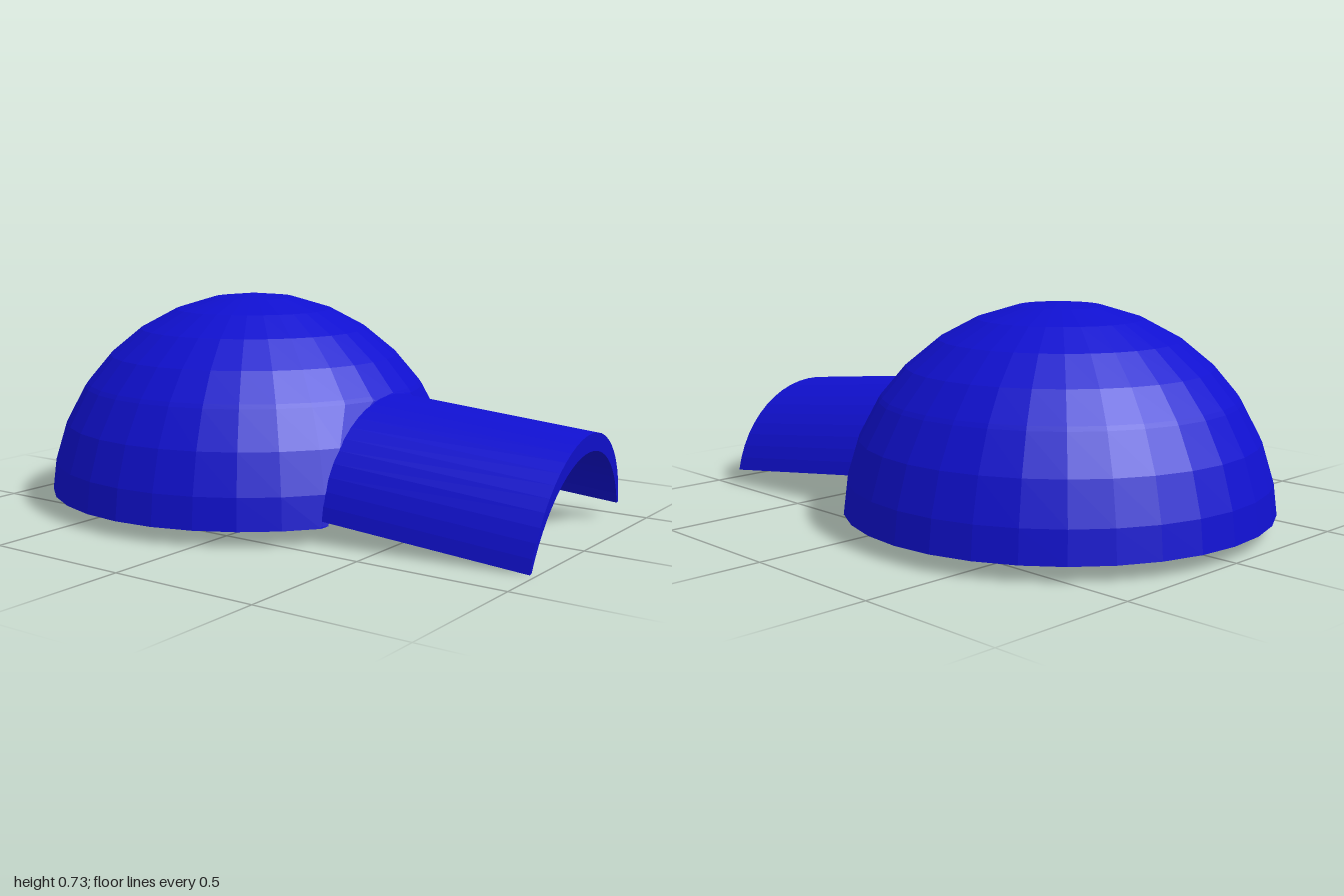
import * as THREE from 'three';

const CENTER = new THREE.Vector3(-0.28, 0.015, 0); // centre of the dome sphere
const BASE_Y = 0.05; // level of the dome's cut base
const CUT = 0.585; // distance from the dome axis to the doorway plane
const STEP = Math.PI / 16;

// Profile of one dome skin from pole to base, with a row where it meets the doorway
function domeProfile(radius) {
  const end = Math.acos((BASE_Y - CENTER.y) / radius);
  const angles = [Math.asin(CUT / radius), end];
  for (let i = 0; i * STEP < end; i++) angles.push(i * STEP);
  return angles.sort((a, b) => a - b)
    .map(a => [radius * Math.sin(a), radius * Math.cos(a)]);
}

// Revolved shell whose rows stop at the flat doorway plane
function domeGeometry() {
  const profile = [...domeProfile(0.715), ...domeProfile(0.693).reverse()];
  const pos = [], index = [], cols = 33;
  profile.forEach(([r, y], row) => {
    const open = r > CUT ? Math.acos(CUT / r) : 0;
    for (let k = 0; k < cols; k++) {
      const phi = THREE.MathUtils.clamp(k * STEP, open, Math.PI * 2 - open);
      pos.push(r * Math.cos(phi), y, -r * Math.sin(phi));
      if (row && k) {
        const d = row * cols + k, c = d - 1, b = d - cols, a = b - 1;
        index.push(a, c, d, a, d, b);
      }
    }
  });
  const g = new THREE.BufferGeometry();
  g.setAttribute('position', new THREE.Float32BufferAttribute(pos, 3));
  g.setIndex(index);
  g.computeVertexNormals();
  return g;
}

// Points of a circular arch of given half width and height
function arch(w, h, n = 24) {
  const r = (w * w + h * h) / (2 * h), half = Math.atan2(w, r - h);
  return Array.from({ length: n + 1 }, (_, i) => {
    const a = half * (1 - 2 * i / n);
    return new THREE.Vector2(r * Math.sin(a), r * Math.cos(a) - r + h);
  });
}

// Arched passage: crescent section, slightly turned, rolled and sloping down
function tunnelGeometry() {
  const shape = new THREE.Shape([...arch(0.4, 0.325), ...arch(0.385, 0.265).reverse()]);
  const length = 0.66;
  const g = new THREE.ExtrudeGeometry(shape, { depth: length, bevelEnabled: false });
  const along = new THREE.Vector3(1, -0.107, -0.115).normalize();
  const across = new THREE.Vector3(-0.088, 0.063, -1).normalize();
  const up = new THREE.Vector3(0.1, 1, 0.06).normalize();
  const mouth = new THREE.Vector3(0.945, 0.025, -0.07);
  g.applyMatrix4(new THREE.Matrix4().makeBasis(across, up, along)
    .setPosition(mouth.addScaledVector(along, -length)));
  // Slide the inner end along the passage onto the doorway plane
  const p = g.attributes.position, v = new THREE.Vector3();
  for (let i = 0; i < p.count; i++) {
    v.fromBufferAttribute(p, i);
    if (v.x < 0.6) {
      v.addScaledVector(along, (0.302 - v.x) / along.x);
      p.setXYZ(i, v.x, v.y, v.z);
    }
  }
  g.computeVertexNormals();
  return g;
}

export function createModel() {
  const group = new THREE.Group();
  const material = new THREE.MeshStandardMaterial({
    color: 0x1010d0, flatShading: true, side: THREE.DoubleSide,
  });

  const dome = new THREE.Mesh(domeGeometry(), material);
  dome.name = 'dome';
  dome.position.copy(CENTER);

  const tunnel = new THREE.Mesh(tunnelGeometry(), material);
  tunnel.name = 'entranceTunnel';

  group.add(dome, tunnel);
  return group;
}
